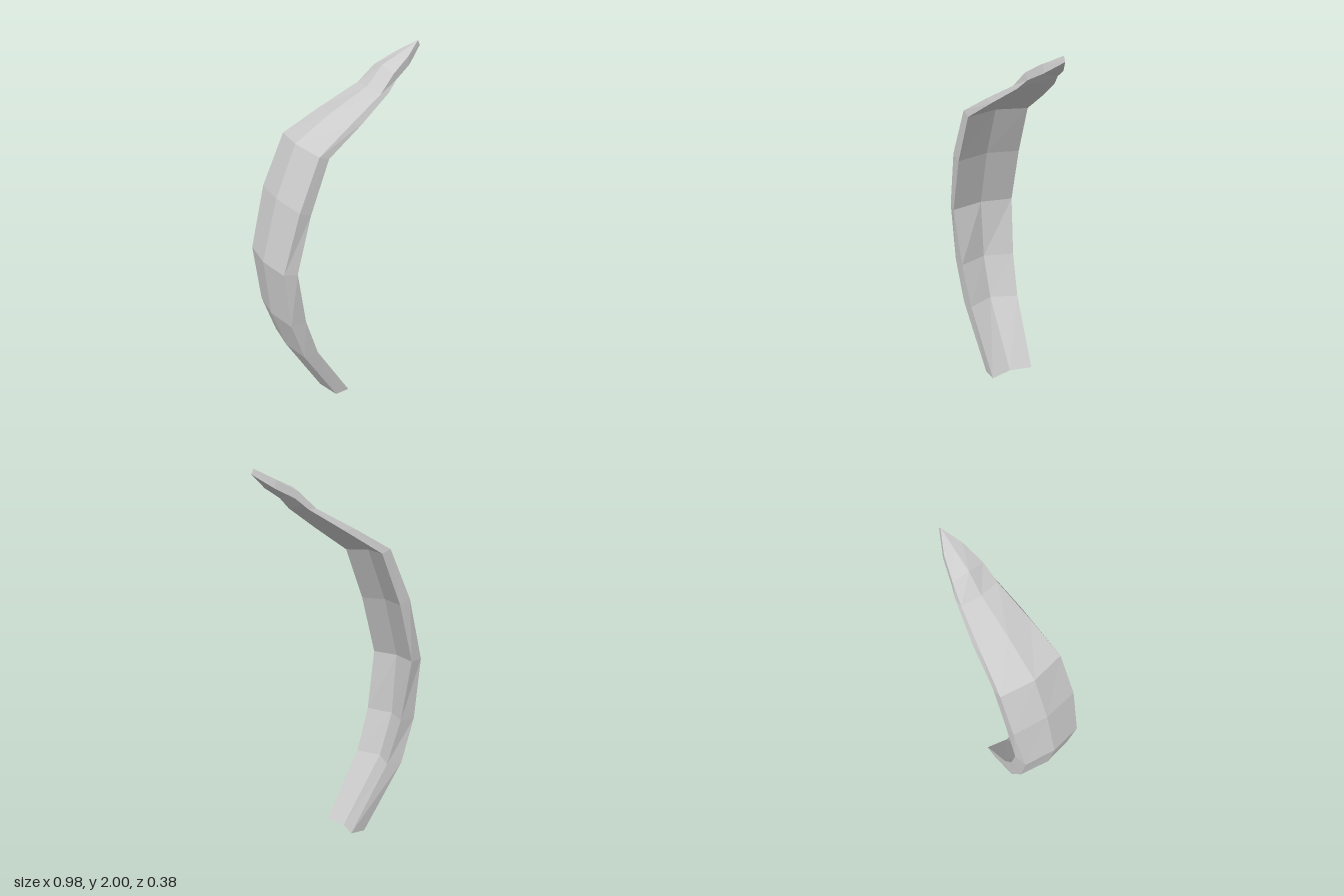
import * as THREE from 'three';

// Cross-sections from base to tip:
// outer ridge x,y | outer edge x,y,z | inner edge x,y,z | inner groove x,y
const SECTIONS = [
  [-0.15, 0, -0.12, 0, 0.13, -0.035, 0, 0.13, -0.065, 0],
  [-0.37, 0.38, -0.342, 0.375, 0.16, -0.255, 0.375, 0.155, -0.31, 0.38],
  [-0.455, 0.625, -0.425, 0.62, 0.168, -0.335, 0.62, 0.17, -0.39, 0.62],
  [-0.49, 0.965, -0.463, 0.96, 0.174, -0.39, 0.953, 0.19, -0.418, 0.958],
  [-0.397, 1.315, -0.37, 1.303, 0.191, -0.305, 1.275, 0.191, -0.333, 1.285],
  [-0.277, 1.593, -0.245, 1.58, 0.182, -0.19, 1.558, 0.183, -0.22, 1.567],
  [-0.06, 1.715, -0.04, 1.692, 0.147, 0.03, 1.686, 0.15, 0.01, 1.70],
  [0.155, 1.81, 0.17, 1.80, 0.106, 0.215, 1.795, 0.108, 0.20, 1.81],
  [0.25, 1.91, 0.26, 1.885, 0.088, 0.28, 1.85, 0.086, 0.265, 1.87],
  [0.37, 1.957, 0.372, 1.945, 0.054, 0.383, 1.902, 0.055, 0.375, 1.92],
  [0.473, 2, 0.473, 2, 0, 0.486, 1.972, 0, 0.486, 1.972],
];

// Six-sided chevron ring; backFlare widens the outer edge on the back side
function ring([rx, ry, ox, oy, oz, ix, iy, iz, gx, gy], backFlare) {
  return [
    [rx, ry, 0], [ox, oy, oz], [ix, iy, iz],
    [gx, gy, 0], [ix, iy, -iz], [ox, oy, -oz - backFlare],
  ].map((p) => new THREE.Vector3(...p));
}

function bladeGeometry() {
  const rings = SECTIONS.map((s, i) => ring(s, i === 1 ? 0.01 : 0));
  const positions = [];
  const tri = (a, b, c) => {
    const area = b.clone().sub(a).cross(c.clone().sub(a)).length();
    if (area > 1e-7) for (const p of [a, b, c]) positions.push(p.x, p.y, p.z);
  };
  const quad = (a, b, c, d) => { tri(a, b, c); tri(a, c, d); };

  // Skin between neighbouring rings
  for (let k = 0; k < rings.length - 1; k++) {
    const low = rings[k], high = rings[k + 1];
    for (let i = 0; i < 6; i++) {
      const j = (i + 1) % 6;
      quad(low[i], low[j], high[j], high[i]);
    }
  }
  // Flat chevron cap at the base
  const b = rings[0];
  quad(b[3], b[2], b[1], b[0]);
  quad(b[5], b[4], b[3], b[0]);

  const geometry = new THREE.BufferGeometry();
  geometry.setAttribute('position', new THREE.Float32BufferAttribute(positions, 3));
  geometry.computeVertexNormals();
  return geometry;
}

export function createModel() {
  const group = new THREE.Group();
  group.name = 'curvedLeaf';
  const blade = new THREE.Mesh(
    bladeGeometry(),
    new THREE.MeshStandardMaterial({ color: 0xcccccc, flatShading: true }),
  );
  blade.name = 'leafBlade';
  group.add(blade);
  return group;
}
